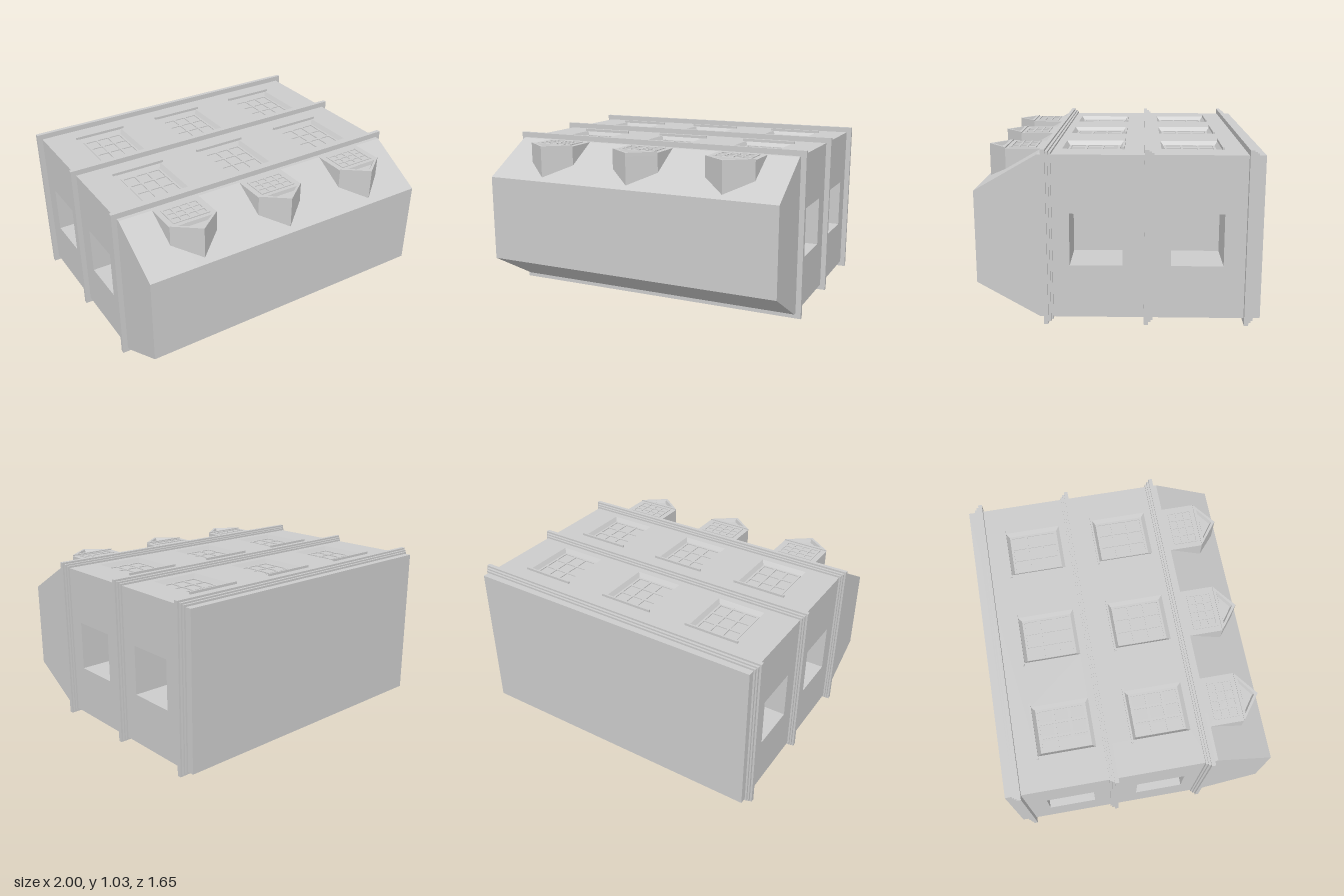
import * as THREE from 'three';

const mat = new THREE.MeshStandardMaterial({ color: 0xcccccc, flatShading: true });
const reveal = new THREE.MeshStandardMaterial({ color: 0xcccccc, flatShading: true, side: THREE.DoubleSide });

const MID = 0.5175;          // mid height of the block
const HALF_X = 0.967;        // half width of the block
const RECESS = 0.03;         // depth of the window recesses
const COLUMNS = [-0.6, 0, 0.617];
const ROWS = [-0.4225, 0.1575];

function add(parent, name, geometry, x = 0, y = 0, z = 0, material = mat) {
  const mesh = new THREE.Mesh(geometry, material);
  mesh.name = name;
  mesh.position.set(x, y, z);
  parent.add(mesh);
  return mesh;
}

const box = (w, h, d) => new THREE.BoxGeometry(w, h, d);
const rect = (x0, z0, x1, z1) => [[x0, z0], [x1, z0], [x1, z1], [x0, z1]];

// Mirrors an anticlockwise outline to suit the later turn, keeping it anticlockwise
function poly(pts, mx, my, Kind) {
  return new Kind(pts.map(([a, b]) => new THREE.Vector2(a * mx, b * my)).reverse());
}

function extrude(pts, depth, holes, mx, my) {
  const shape = poly(pts, mx, my, THREE.Shape);
  shape.holes = holes.map((h) => poly(h, mx, my, THREE.Path));
  return new THREE.ExtrudeGeometry(shape, { depth, bevelEnabled: false });
}

// Outline in (x, z), extruded upwards along y
const slab = (pts, depth, holes = []) => extrude(pts, depth, holes, 1, -1).rotateX(-Math.PI / 2);

// Outline in (z, y), extruded along x
const section = (pts, depth, holes = []) => extrude(pts, depth, holes, -1, 1).rotateY(Math.PI / 2);

// Frame and glazing bars lying flat, with the underside at y = 0
function glazing(w, l, cols, rows, bar, height) {
  const g = new THREE.Group();
  g.name = 'glazingBars';
  for (let i = 0; i <= cols; i++) {
    add(g, 'uprightBar', box(bar, height, l), (i / cols - 0.5) * (w - bar), height / 2, 0);
  }
  for (let j = 0; j <= rows; j++) {
    add(g, 'crossBar', box(w, height * 0.96, bar), 0, height * 0.48, (j / rows - 0.5) * (l - bar));
  }
  return g;
}

// Recessed window: splayed reveal, bars and projecting sill; y = 0 is the wall face
function createWindow() {
  const g = new THREE.Group();
  g.name = 'window';
  const splay = new THREE.CylinderGeometry(Math.SQRT2, Math.SQRT2 * 0.88, RECESS, 4, 1, true);
  splay.rotateY(Math.PI / 4).scale(0.155, 1, 0.1775);
  add(g, 'windowReveal', splay, 0, -RECESS / 2, 0, reveal);
  const bars = glazing(0.272, 0.312, 3, 3, 0.014, 0.006);
  bars.position.y = -RECESS;
  g.add(bars);
  add(g, 'windowSill', box(0.35, 0.03, 0.012), 0, 0, -0.182);
  return g;
}

// Wall plate pierced by two rows of windows; y = 0 is the outer face
function createFacade(columns) {
  const g = new THREE.Group();
  g.name = 'facade';
  const holes = [];
  for (const x of columns) {
    for (const z of ROWS) {
      holes.push(rect(x - 0.155, z - 0.1775, x + 0.155, z + 0.1775));
      const win = createWindow();
      win.position.set(x, 0, z);
      g.add(win);
    }
  }
  add(g, 'facadeWall', slab(rect(-HALF_X, -0.825, HALF_X, 0.41), RECESS, holes), 0, -RECESS, 0);
  return g;
}

// Gabled dormer running out of the sloping roof, with a sunken triangular pediment
function createDormer() {
  const g = new THREE.Group();
  g.name = 'dormer';
  const house = [[-0.155, 0.45], [0.155, 0.45], [0.155, 0.67], [0, 0.79], [-0.155, 0.67]];
  const gable = [[-0.155, 0.67], [0.155, 0.67], [0, 0.79]];
  const inset = [[-0.11, 0.688], [0.11, 0.688], [0, 0.768]];
  add(g, 'dormerBody', slab(house, 0.235), 0, 0.75, 0);
  add(g, 'dormerFace', slab(house, 0.015, [inset]), 0, 0.985, 0);
  add(g, 'dormerPediment', slab(gable, 0.007, [inset]), 0, 1, 0);
  const splay = new THREE.CylinderGeometry(1, 0.8, 0.022, 3, 1, true).scale(0.127, 1, 0.0533);
  add(g, 'pedimentReveal', splay, 0, 0.996, 0.7147, reveal);
  const bars = glazing(0.24, 0.16, 4, 3, 0.012, 0.005);
  bars.position.set(0, 1, 0.572);
  g.add(bars);
  return g;
}

export function createModel() {
  const model = new THREE.Group();
  model.name = 'building';

  // Core with mansard roof, and end blocks with deep square openings
  const lo = 0.035 + RECESS, hi = 1 - RECESS;
  const outline = [
    [-0.825, lo], [0.41, lo], [0.41, 0.035], [0.46, 0.035], [0.825, 0.245],
    [0.825, 0.79], [0.46, 1], [0.41, 1], [0.41, hi], [-0.825, hi],
  ];
  const openings = [rect(-0.023, 0.351, 0.283, 0.659), rect(-0.605, 0.351, -0.302, 0.659)];
  const END = 0.3;
  add(model, 'core', section(outline, 2 * (HALF_X - END)), -HALF_X + END, 0, 0);
  add(model, 'leftEndWall', section(outline, END, openings), HALF_X - END, 0, 0);
  add(model, 'rightEndWall', section(outline, END, openings), -HALF_X, 0, 0);

  // Two opposite windowed facades
  const top = createFacade(COLUMNS);
  top.position.y = 1;
  const bottom = createFacade(COLUMNS.map((x) => -x));
  bottom.rotation.z = Math.PI;
  bottom.position.y = 0.035;
  model.add(top, bottom);

  // Stepped string courses around the whole block
  for (const z of [0.435, -0.147, -0.73]) {
    const band = new THREE.Group();
    band.name = 'stringCourse';
    for (const [out, from, to] of [[0.034, 0, 0.025], [0.022, 0.025, 0.04], [0.012, 0.04, 0.053]]) {
      add(band, 'bandStep', box(2 * (HALF_X + out - 0.001), 0.965 + 2 * out, to - from), 0, MID, z - (from + to) / 2);
    }
    model.add(band);
  }

  // Roof dormers
  for (const x of COLUMNS) {
    const dormer = createDormer();
    dormer.position.x = x;
    model.add(dormer);
  }
  return model;
}
